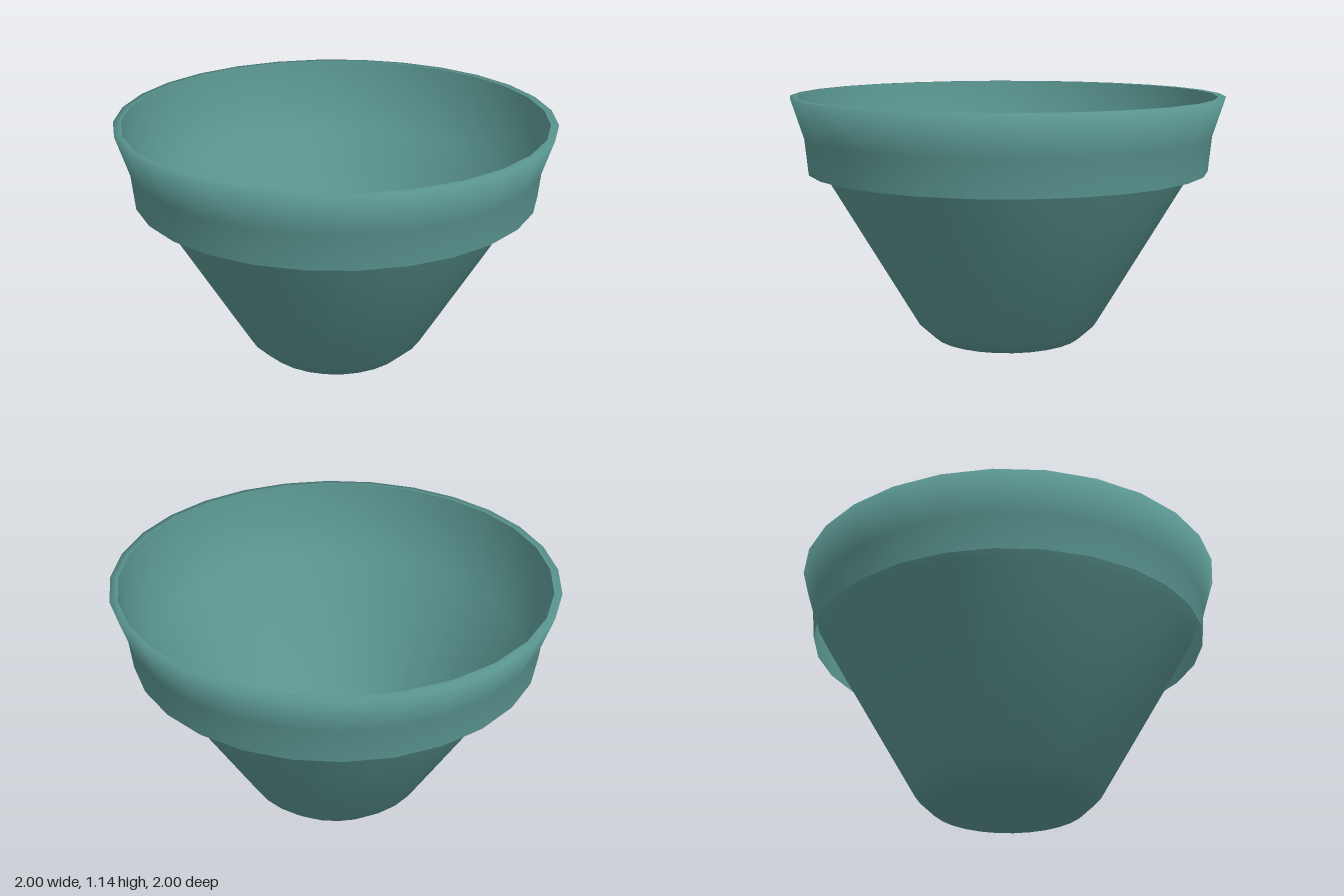
import * as THREE from 'three';

const SIDES = 28;

export function createModel() {
  const model = new THREE.Group();
  model.name = 'flowerPot';

  const glaze = new THREE.MeshStandardMaterial({ color: 0x5a9590, side: THREE.DoubleSide });
  glaze.name = 'teal glaze';

  // Turns a [radius, height] profile around the y axis, with evenly averaged smooth normals
  const turn = (name, profile) => {
    const points = profile.map(([r, y]) => new THREE.Vector2(r, y));
    const segments = points.slice(1).map((p, i) =>
      new THREE.Vector2(p.y - points[i].y, points[i].x - p.x).normalize());
    const smooth = points.map((p, i) =>
      (segments[i - 1] ?? segments[i]).clone().add(segments[i] ?? segments[i - 1]).normalize());

    const geometry = new THREE.LatheGeometry(points, SIDES);
    const normals = geometry.attributes.normal;
    for (let i = 0; i < normals.count; i++) {
      const n = smooth[i % points.length];
      const angle = Math.floor(i / points.length) / SIDES * Math.PI * 2;
      normals.setXYZ(i, n.x * Math.sin(angle), n.y, n.x * Math.cos(angle));
    }
    const mesh = new THREE.Mesh(geometry, glaze);
    mesh.name = name;
    model.add(mesh);
  };

  // Overhanging collar, open underneath, flaring out to the lip
  turn('collar', [[0.928, 0.8], [0.943, 0.96], [1, 1.142], [0.965, 1.142]]);

  // Thin-walled bowl: inside of the lip, tapered wall, bevelled foot and floor
  turn('bowl', [[0.965, 1.142], [0.932, 0.935], [0.857, 0.8], [0.43, 0.07], [0.355, 0], [0, 0]]);

  return model;
}
